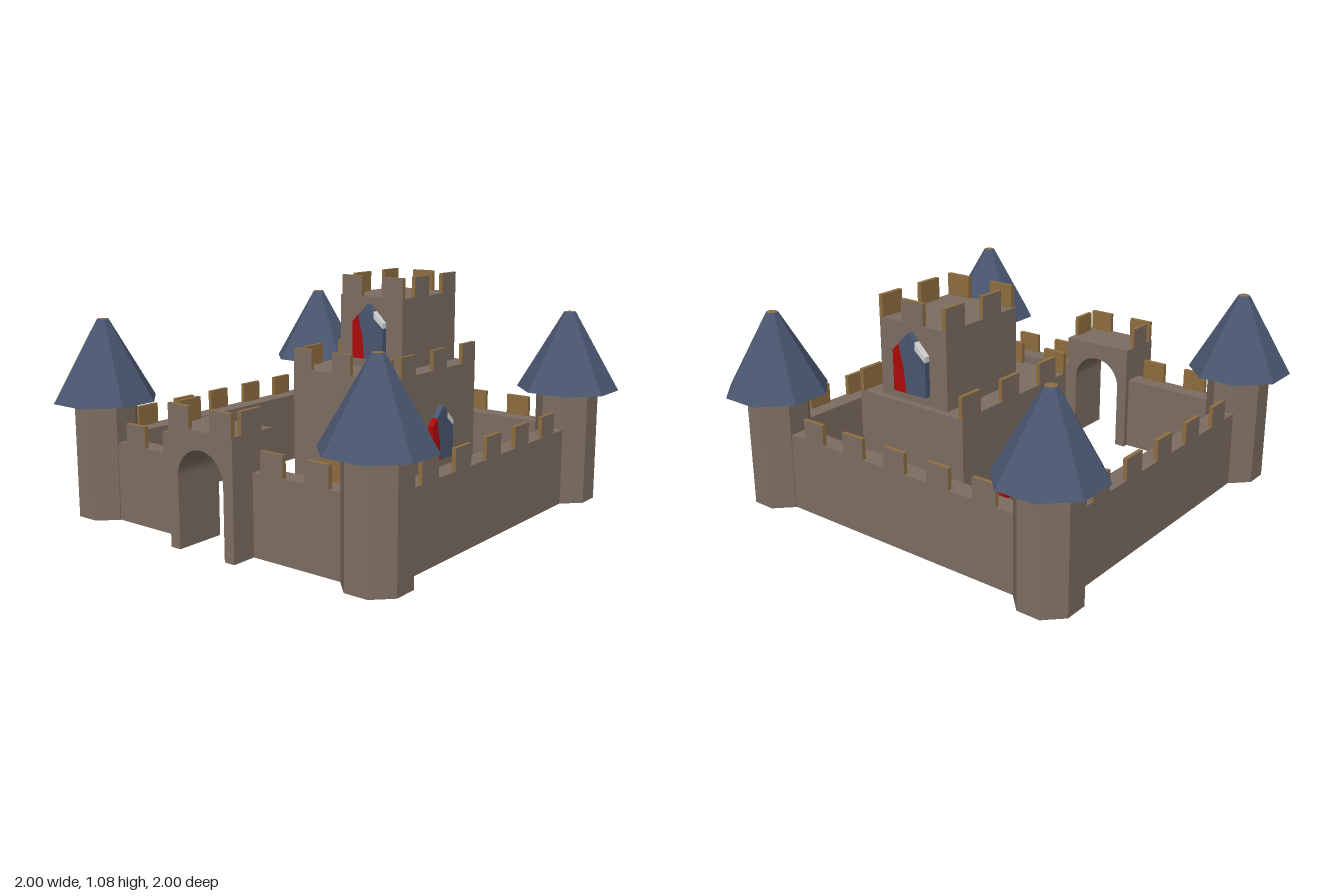
import * as THREE from 'three';

const material = (name, color) => {
  const m = new THREE.MeshStandardMaterial({ color });
  m.name = name;
  return m;
};

export function createModel() {
  const stone = material('stone', 0x7d6d61);
  const timber = material('timber', 0x8f6d40);
  const slate = material('slate blue', 0x4a5670);
  const red = material('red', 0xb00a0a);
  const pale = material('pale grey', 0xd5d5d5);

  const castle = new THREE.Group();
  castle.name = 'castle';

  const add = (parent, name, geometry, mat, x = 0, y = 0, z = 0) => {
    const mesh = new THREE.Mesh(geometry, mat);
    mesh.name = name;
    mesh.position.set(x, y, z);
    parent.add(mesh);
    return mesh;
  };

  // Box given by its limits on each axis
  const block = (parent, name, x0, x1, y0, y1, z0, z1, mat = stone) =>
    add(parent, name, new THREE.BoxGeometry(x1 - x0, y1 - y0, z1 - z0), mat,
      (x0 + x1) / 2, (y0 + y1) / 2, (z0 + z1) / 2);

  // Group whose local +z points outward, turned about (cx, 0)
  const facing = (name, angle, cx = 0) => {
    const g = new THREE.Group();
    g.name = name;
    g.position.x = cx;
    g.rotation.y = angle;
    castle.add(g);
    return g;
  };

  // Merlons: stone on the outer face, timber elsewhere
  const merlonMats = [timber, timber, timber, timber, stone, timber];
  const merlons = (parent, offsets, y, dist, width = 0.12) => {
    for (const x of offsets)
      block(parent, 'merlon', x - width / 2, x + width / 2, y, y + 0.098, dist - 0.02, dist, merlonMats);
  };

  const polygon = (pts) => new THREE.Shape(pts.map(([x, y]) => new THREE.Vector2(x, y)));
  const slab = (shape, depth) =>
    new THREE.ExtrudeGeometry(shape, { depth, bevelEnabled: false, curveSegments: 16 });

  // Eight-sided corner towers with flat facets
  const octagon = (top, bottom, height) => {
    const g = new THREE.CylinderGeometry(top, bottom, height, 8, 1, false, Math.PI / 8).toNonIndexed();
    g.computeVertexNormals();
    return g;
  };
  const shaft = octagon(0.146, 0.146, 0.54);
  const roof = octagon(0.027, 0.241, 0.372);
  for (const x of [-0.775, 0.775]) {
    for (const z of [-0.775, 0.775]) {
      add(castle, 'towerShaft', shaft, stone, x, 0.27, z);
      add(castle, 'towerRoof', roof, [slate, timber, timber], x, 0.726, z);
    }
  }

  // Curtain walls on the front, right-hand and back sides
  for (const [name, angle] of [['frontWall', 0], ['leftWall', Math.PI / 2], ['backWall', Math.PI]]) {
    const g = facing(name, angle);
    block(g, 'wall', -0.66, 0.66, 0, 0.363, 0.733, 0.827);
    merlons(g, [-0.49, -0.245, 0, 0.245, 0.49], 0.363, 0.827);
  }

  // Gate side: two wall halves and an arched gatehouse
  const gate = facing('gateWall', -Math.PI / 2);
  for (const s of [-1, 1]) {
    const x0 = Math.min(s * 0.17, s * 0.66);
    block(gate, 'wall', x0, x0 + 0.49, 0, 0.363, 0.733, 0.827);
    merlons(gate, [s * 0.285, s * 0.52], 0.363, 0.827);
  }
  const arch = new THREE.Shape();
  arch.moveTo(-0.183, 0);
  arch.lineTo(-0.13, 0);
  arch.lineTo(-0.13, 0.32);
  arch.absarc(0, 0.32, 0.13, Math.PI, 0, true);
  arch.lineTo(0.13, 0);
  arch.lineTo(0.183, 0);
  arch.lineTo(0.183, 0.53);
  arch.lineTo(-0.183, 0.53);
  add(gate, 'gatehouse', slab(arch, 0.24), stone, 0, 0, 0.705);
  merlons(gate, [-0.12, 0.12], 0.53, 0.945);
  for (const angle of [0, Math.PI]) merlons(facing('gateSide', angle, -0.83), [0], 0.53, 0.183);

  // Lower keep: hollow underneath, timber along the bottom rim
  const rim = [stone, stone, stone, timber, stone, stone];
  const [kx0, kx1, kz, ky] = [-0.01, 0.715, 0.29, 0.632];
  block(castle, 'keepRoof', kx0, kx1, ky - 0.02, ky, -kz, kz);
  for (const s of [-1, 1])
    block(castle, 'keepWall', kx0, kx1, 0, ky - 0.02, s * kz - (s > 0 ? 0.02 : 0), s * kz + (s > 0 ? 0 : 0.02), rim);
  for (const x of [kx0, kx1 - 0.02])
    block(castle, 'keepWall', x, x + 0.02, 0, ky - 0.02, -kz + 0.02, kz - 0.02, rim);

  // Upper keep
  block(castle, 'upperKeep', 0.225, 0.685, ky, 0.977, -0.185, 0.185);

  // Battlements of both keep levels
  for (const [angle, s] of [[0, 1], [Math.PI, -1]]) {
    merlons(facing('keepBattlement', angle, 0.39), [-0.26, 0.005, 0.265].map((x) => x * s), ky, kz);
    merlons(facing('upperBattlement', angle, 0.455), [-0.067, 0.171].map((x) => x * s), 0.977, 0.185);
  }
  merlons(facing('keepBattlement', -Math.PI / 2, 0.39), [-0.235, 0, 0.235], ky, 0.4, 0.11);
  merlons(facing('upperBattlement', -Math.PI / 2, 0.455), [-0.115, 0.125], 0.977, 0.23);
  merlons(facing('upperBattlement', Math.PI / 2, 0.455), [0], 0.977, 0.23);

  // Pointed windows: red strip, blue pane, pale glint
  const parts = [
    ['curtain', red, [[-0.09, 0], [-0.02, 0], [-0.03, 0.1], [-0.056, 0.213], [-0.09, 0.18]]],
    ['pane', slate, [[-0.02, 0], [0.09, 0], [0.09, 0.155], [0.035, 0.2], [0.035, 0.234],
      [0, 0.268], [-0.056, 0.213], [-0.03, 0.1]]],
    ['glint', pale, [[0.09, 0.155], [0.09, 0.18], [0.035, 0.234], [0.035, 0.2]]],
  ];
  const pointedWindow = (angle, cx, dist, y) => {
    const g = facing('window', angle, cx);
    for (const [name, mat, pts] of parts) add(g, name, slab(polygon(pts), 0.028), mat, 0, y, dist);
  };
  for (const angle of [0, Math.PI]) pointedWindow(angle, 0.39, kz, 0.19);
  for (const angle of [Math.PI / 2, -Math.PI / 2]) pointedWindow(angle, 0.455, 0.23, 0.677);

  // Keep door facing the gate
  const door = facing('door', -Math.PI / 2, 0);
  add(door, 'doorLeaf', slab(polygon([[-0.11, 0], [0.11, 0], [0.11, 0.22], [0.055, 0.25],
    [0.055, 0.3], [0, 0.35], [-0.11, 0.26]]), 0.024), timber, 0, 0, 0.01);
  add(door, 'doorGlint', slab(polygon([[0.11, 0.22], [0.11, 0.26], [0.055, 0.3], [0.055, 0.25]]), 0.024),
    pale, 0, 0, 0.01);

  return castle;
}
